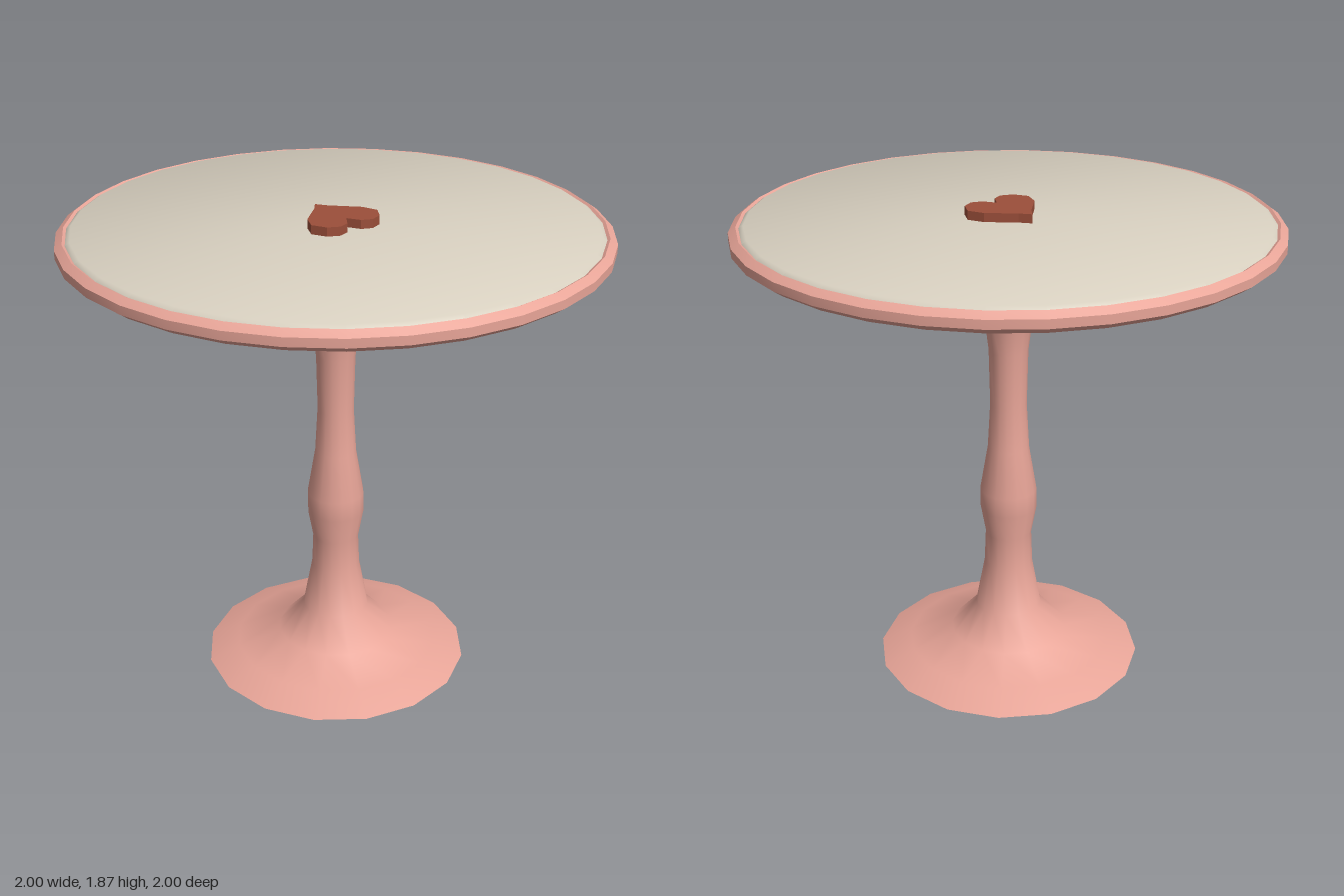
import * as THREE from 'three';
import { toCreasedNormals } from 'three/addons/utils/BufferGeometryUtils.js';

const material = (color) => new THREE.MeshStandardMaterial({ color });
const pink = material(0xe8a598);
const cream = material(0xd8d0c0);
const brown = material(0x9c4f3a);

// Turned part from [radius, height] points listed from the bottom up
function turned(name, points, sides, mat, crease = 0.6) {
  const profile = points.map(([r, y]) => new THREE.Vector2(r, y));
  const mesh = new THREE.Mesh(toCreasedNormals(new THREE.LatheGeometry(profile, sides), crease), mat);
  mesh.name = name;
  return mesh;
}

export function createModel() {
  const table = new THREE.Group();
  table.name = 'pedestalTable';

  // Flared foot and baluster column in one turning
  table.add(turned('pedestal', [
    [0, 0], [0.49, 0], [0.52, 0.02], [0.4, 0.07], [0.23, 0.12], [0.13, 0.23],
    [0.095, 0.42], [0.09, 0.55], [0.11, 0.66], [0.11, 0.74], [0.08, 0.92],
    [0.07, 1.1], [0.075, 1.32], [0.1, 1.52], [0.147, 1.645], [0.13, 1.71], [0, 1.71],
  ], 16, pink, 0.8));

  // Collar under the top
  table.add(turned('collar', [[0, 1.71], [0.195, 1.71], [0.195, 1.76], [0, 1.76]], 32, pink));

  // Table top with softened edges
  table.add(turned('tableTop', [
    [0, 1.757], [0.94, 1.757], [0.965, 1.775], [0.965, 1.822], [0.945, 1.835], [0, 1.837],
  ], 32, cream, 1));

  // Bevelled rim band, closed ring section
  table.add(turned('rim', [
    [0.955, 1.775], [0.965, 1.753], [1, 1.778], [1, 1.81], [0.972, 1.83], [0.955, 1.82], [0.955, 1.775],
  ], 32, pink));

  // Heart ornament: right half outline from tip to notch, mirrored
  const half = [[0.03, -0.09], [0.12, -0.005], [0.145, 0.055], [0.115, 0.108], [0.07, 0.128], [0.03, 0.112]];
  const outline = [[0, -0.13], ...half, [0, 0.065], ...half.map(([x, z]) => [-x, z]).reverse()];
  const shape = new THREE.Shape(outline.map(([x, z]) => new THREE.Vector2(x, -z)));
  const heart = new THREE.Mesh(new THREE.ExtrudeGeometry(shape, { depth: 0.04, bevelEnabled: false }), brown);
  heart.name = 'heartOrnament';
  heart.rotation.x = -Math.PI / 2;
  heart.position.y = 1.83;
  table.add(heart);

  return table;
}
